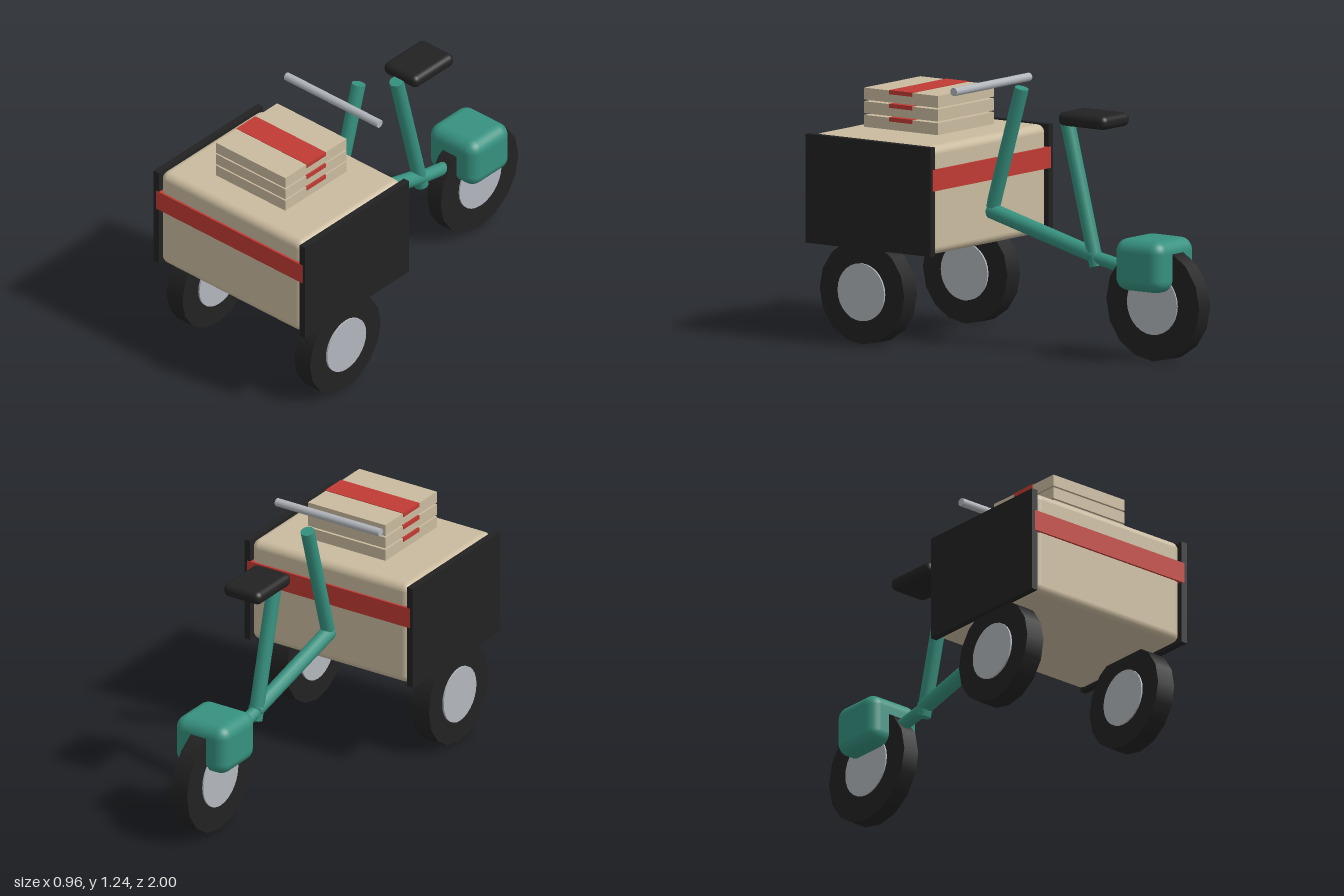
import * as THREE from 'three';
import { RoundedBoxGeometry } from 'three/addons/geometries/RoundedBoxGeometry.js';

export function createModel() {
  const group = new THREE.Group();
  group.name = 'cargoTrike';

  const mat = (name, color) => {
    const m = new THREE.MeshStandardMaterial({ color });
    m.name = name;
    return m;
  };
  const teal = mat('teal', 0x36917f);
  const beige = mat('beige', 0xcabb9f);
  const black = mat('black', 0x222222);
  const red = mat('red', 0xc03a34);
  const silver = mat('silver', 0xb2b6bc);

  const add = (name, geometry, material, x, y, z) => {
    const mesh = new THREE.Mesh(geometry, material);
    mesh.name = name;
    mesh.position.set(x, y, z);
    group.add(mesh);
    return mesh;
  };
  const box = (name, w, h, d, material, x, y, z) =>
    add(name, new THREE.BoxGeometry(w, h, d), material, x, y, z);
  const rounded = (name, w, h, d, r, material, x, y, z) =>
    add(name, new RoundedBoxGeometry(w, h, d, 4, r), material, x, y, z);
  // Cylinder lying along x
  const axle = (name, r, width, sides, material, x, y, z) =>
    add(name, new THREE.CylinderGeometry(r, r, width, sides).rotateZ(Math.PI / 2), material, x, y, z);
  // Tube in the centre plane between two (y, z) points
  const tube = (name, r, [y1, z1], [y2, z2]) => {
    const a = new THREE.Vector3(0, y1, z1);
    const dir = new THREE.Vector3(0, y2, z2).sub(a);
    const mesh = add(name, new THREE.CylinderGeometry(r, r, dir.length(), 12), teal,
      0, (y1 + y2) / 2, (z1 + z2) / 2);
    mesh.quaternion.setFromUnitVectors(new THREE.Vector3(0, 1, 0), dir.normalize());
  };

  // Cargo box with side panels and a band around it
  rounded('cargoBox', 0.9, 0.52, 0.72, 0.04, beige, 0, 0.72, 0.63);
  box('cargoBand', 0.926, 0.102, 0.741, red, 0, 0.821, 0.63);
  for (const side of [-1, 1]) {
    box('sidePanel', 0.033, 0.52, 0.738, black, side * 0.462, 0.72, 0.63);
  }

  // Stack of strapped delivery boxes
  for (let i = 0; i < 3; i++) {
    const y = 1.024 + i * 0.065;
    box('deliveryBox', 0.44, 0.057, 0.435, beige, 0, y, 0.631);
    box('boxStrap', 0.447, 0.02, 0.135, red, 0, y + 0.021, 0.631);
  }

  // Wheels
  const wheel = (name, r, hubR, width, hubWidth, x, z) => {
    axle(name + 'Tire', r, width, 16, black, x, r, z);
    axle(name + 'Hub', hubR, hubWidth, 28, silver, x, r, z);
  };
  for (const side of [-1, 1]) {
    wheel('frontWheel', 0.25, 0.138, 0.1, 0.118, side * 0.404, 0.685);
  }
  wheel('rearWheel', 0.275, 0.148, 0.086, 0.1, 0, -0.724);

  // Rear fender housing
  rounded('rearFender', 0.3, 0.248, 0.28, 0.06, teal, 0, 0.461, -0.7);

  // Frame tubes
  tube('mainTube', 0.038, [0.625, 0.27], [0.463, -0.36]);
  tube('seatTube', 0.035, [1.1, -0.185], [0.415, -0.36]);
  tube('steeringTube', 0.034, [1.225, 0.083], [0.62, 0.26]);
  tube('rearStay', 0.032, [0.46, -0.34], [0.39, -0.72]);

  // Saddle and handlebar
  rounded('saddle', 0.212, 0.066, 0.284, 0.03, black, 0, 1.117, -0.343);
  axle('handlebar', 0.02, 0.59, 14, silver, 0, 1.225, 0.263);

  return group;
}
